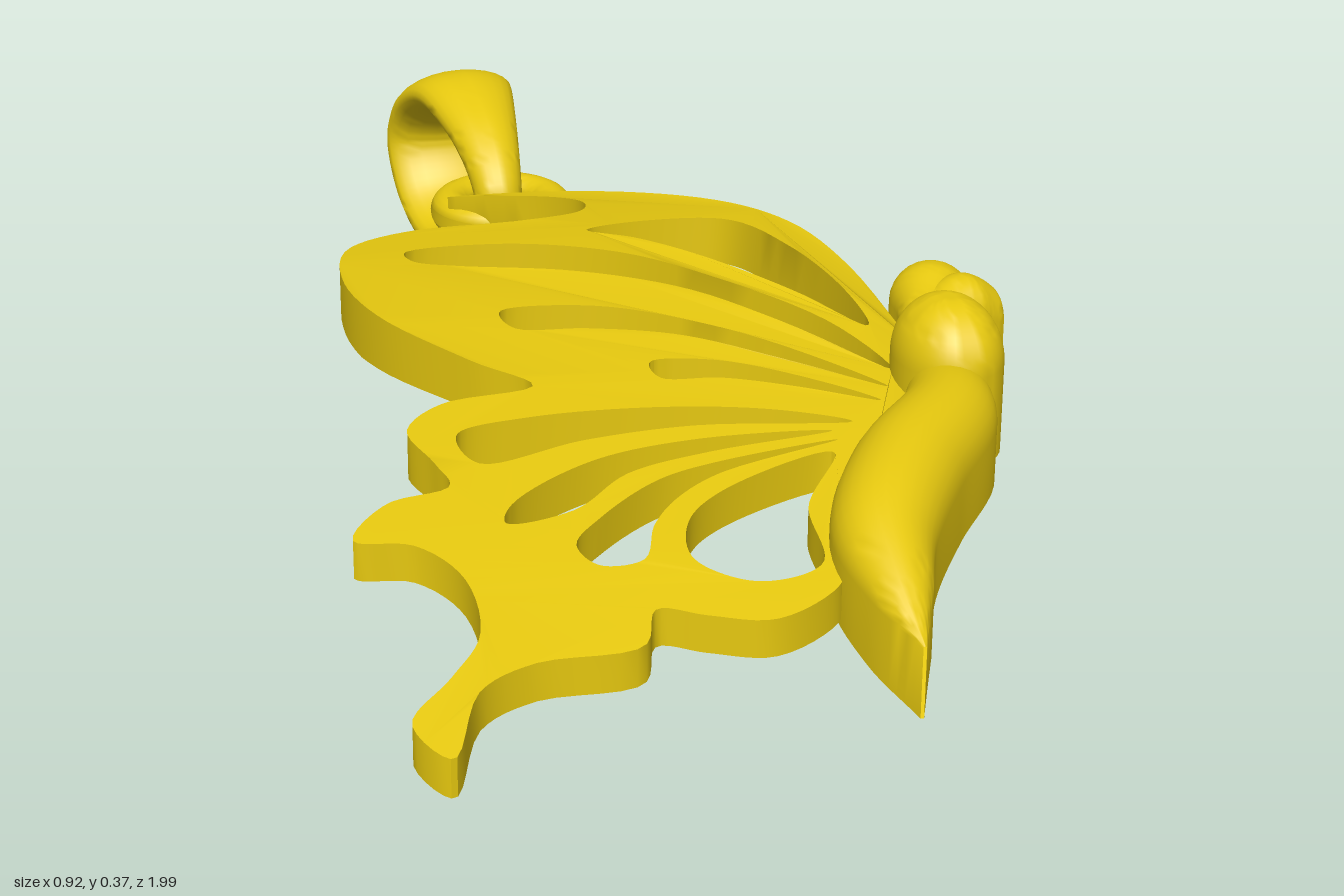
import * as THREE from 'three';
import { toCreasedNormals } from 'three/addons/utils/BufferGeometryUtils.js';

const gold = new THREE.MeshStandardMaterial({ color: 0xe6c80f, side: THREE.DoubleSide });

function part(name, geometry, crease = 0.7) {
  const mesh = new THREE.Mesh(toCreasedNormals(geometry, crease), gold);
  mesh.name = name;
  return mesh;
}

// Skin a list of equal-length rings of Vector3
function loft(rings, closedPath) {
  const n = rings[0].length, m = rings.length, index = [];
  for (let i = 0; i < (closedPath ? m : m - 1); i++) {
    for (let j = 0; j < n; j++) {
      const a = i * n + j, b = i * n + (j + 1) % n;
      const c = ((i + 1) % m) * n + j, d = ((i + 1) % m) * n + (j + 1) % n;
      index.push(a, b, c, b, d, c);
    }
  }
  const g = new THREE.BufferGeometry().setFromPoints(rings.flat());
  g.setIndex(index);
  return g;
}

// Flat-bottomed, domed ridge along stations [x, z, halfWidth, top, bottom]
function ridge(stations, steps = 36) {
  const path = new THREE.CatmullRomCurve3(stations.map(s => new THREE.Vector3(s[0], 0, s[1])), false, 'catmullrom');
  const size = new THREE.CatmullRomCurve3(stations.map(s => new THREE.Vector3(s[2], s[3], s[4])), false, 'catmullrom');
  const up = new THREE.Vector3(0, 1, 0), rings = [];
  for (let i = 0; i <= steps; i++) {
    const c = path.getPoint(i / steps), { x: w0, y: top, z: bottom } = size.getPoint(i / steps);
    const side = up.clone().cross(path.getTangent(i / steps));
    const w = Math.max(w0, 0.002), dome = Math.min(w, 0.5 * (top - bottom));
    const at = (a, y) => c.clone().addScaledVector(side, a).setY(y);
    const ring = [at(w, bottom)];
    for (let k = 0; k <= 14; k++) {
      const t = Math.PI * k / 14;
      ring.push(at(w * Math.cos(t), top - dome + dome * Math.sin(t)));
    }
    ring.push(at(-w, bottom));
    rings.push(ring);
  }
  return loft(rings, false);
}

// Smooth closed contour through [x, z] points
function contour(points, n) {
  return new THREE.CatmullRomCurve3(points.map(p => new THREE.Vector3(p[0], -p[1], 0)), true, 'centripetal')
    .getPoints(n).slice(0, -1).map(p => new THREE.Vector2(p.x, p.y));
}

function wingGeometry() {
  const outline = [
    [-0.08, -0.57], [0, -0.54], [0.13, -0.42], [0.24, -0.26], [0.29, -0.11], [0.305, 0.08], [0.30, 0.34],
    [0.31, 0.45], [0.26, 0.52], [0.17, 0.62], [0.10, 0.72], [0.06, 0.78], [0.03, 0.82], [-0.05, 0.855],
    [-0.12, 0.835], [-0.17, 0.815], [-0.2, 0.87], [-0.32, 0.875], [-0.385, 0.905], [-0.435, 0.995],
    [-0.465, 0.94], [-0.41, 0.88], [-0.365, 0.82], [-0.36, 0.72], [-0.4, 0.655], [-0.462, 0.635],
    [-0.41, 0.57], [-0.335, 0.55], [-0.34, 0.5], [-0.355, 0.42], [-0.30, 0.365], [-0.185, 0.345],
    [-0.24, 0.265], [-0.32, 0.11], [-0.34, -0.03], [-0.3, -0.185], [-0.2, -0.25], [-0.05, -0.25],
    [0.04, -0.275], [0.065, -0.345], [0.04, -0.42], [-0.03, -0.51],
  ];
  const holes = [
    // forewing cells
    [[0.02, -0.16], [0.105, -0.18], [0.21, -0.15], [0.255, 0], [0.272, 0.19], [0.262, 0.28], [0.21, 0.16],
      [0.13, 0], [0.07, -0.1]],
    [[-0.235, -0.135], [-0.105, -0.13], [0.025, -0.05], [0.13, 0.095], [0.22, 0.26], [0.25, 0.40],
      [0.16, 0.24], [0.07, 0.105], [-0.05, 0.01], [-0.185, -0.05], [-0.235, -0.085]],
    [[-0.17, 0.125], [-0.05, 0.14], [0.08, 0.24], [0.185, 0.37], [0.23, 0.44], [0.13, 0.345],
      [0.025, 0.25], [-0.08, 0.205], [-0.165, 0.185]],
    [[-0.03, 0.315], [0.05, 0.33], [0.16, 0.415], [0.21, 0.47], [0.12, 0.415], [0.04, 0.375], [-0.03, 0.36]],
    // hindwing cells
    [[-0.3, 0.44], [-0.21, 0.42], [-0.05, 0.43], [0.08, 0.465], [0.16, 0.51], [-0.025, 0.48],
      [-0.16, 0.485], [-0.29, 0.51]],
    [[-0.29, 0.635], [-0.275, 0.6], [-0.16, 0.53], [-0.025, 0.51], [0.13, 0.525], [-0.025, 0.54],
      [-0.13, 0.565], [-0.21, 0.625]],
    [[-0.225, 0.69], [-0.185, 0.645], [-0.1, 0.585], [-0.025, 0.563], [0.13, 0.545], [-0.025, 0.585],
      [-0.09, 0.625], [-0.13, 0.67], [-0.16, 0.73], [-0.21, 0.73]],
    [[-0.105, 0.74], [-0.09, 0.67], [-0.025, 0.615], [0.115, 0.57], [0.05, 0.67], [0.03, 0.775], [-0.05, 0.79]],
  ];
  const shape = new THREE.Shape(contour(outline, 240));
  shape.holes = holes.map(h => new THREE.Path(contour(h, 64)));
  const g = new THREE.ExtrudeGeometry(shape, { depth: 1, bevelEnabled: false });
  g.rotateX(-Math.PI / 2);
  // Arch the plate lengthwise and thin it towards both tips
  const p = g.attributes.position;
  for (let i = 0; i < p.count; i++) {
    const z = p.getZ(i), d = z - 0.05;
    const top = 0.285 - (d < 0 ? 0.24 : 0.14) * d * d;
    const thickness = Math.max(0.045, 0.075 - 0.05 * Math.abs(d));
    p.setY(i, top - thickness * (1 - p.getY(i)));
  }
  return g;
}

// Teardrop band, wide at the back and narrow where it holds the ring
function bailGeometry() {
  const curve = new THREE.CatmullRomCurve3([
    [-0.625, 0.155], [-0.66, 0.09], [-0.74, 0.048], [-0.84, 0.035], [-0.925, 0.075], [-0.967, 0.155],
    [-0.93, 0.225], [-0.84, 0.265], [-0.73, 0.245], [-0.655, 0.205],
  ].map(([z, y]) => new THREE.Vector3(0.01, y, z)), true, 'catmullrom');
  const xAxis = new THREE.Vector3(1, 0, 0), rings = [];
  for (let i = 0; i < 72; i++) {
    const c = curve.getPoint(i / 72), out = curve.getTangent(i / 72).cross(xAxis);
    const half = THREE.MathUtils.mapLinear(c.z, -0.625, -0.967, 0.036, 0.098);
    rings.push(Array.from({ length: 24 }, (_, k) => {
      const t = k / 24 * Math.PI * 2;
      return c.clone().addScaledVector(xAxis, half * Math.cos(t)).addScaledVector(out, 0.033 * Math.sin(t));
    }));
  }
  return loft(rings, true);
}

export function createModel() {
  const model = new THREE.Group();
  model.name = 'butterflyPendant';

  model.add(part('wings', wingGeometry()));

  model.add(part('abdomen', ridge([
    [0.305, 0.44, 0.045, 0.30, 0.178], [0.265, 0.54, 0.06, 0.312, 0.178], [0.175, 0.65, 0.066, 0.312, 0.172],
    [0.105, 0.765, 0.06, 0.292, 0.16], [0.085, 0.87, 0.037, 0.25, 0.135], [0.08, 0.958, 0.002, 0.195, 0.11],
  ])));

  // Domed thorax: straight wall with a rounded top
  const wall = [new THREE.Vector2(0, 0.176), new THREE.Vector2(1, 0.176)];
  for (let k = 0; k <= 14; k++) {
    const t = k / 14 * Math.PI / 2;
    wall.push(new THREE.Vector2(k === 14 ? 0 : Math.cos(t), 0.29 + 0.077 * Math.sin(t)));
  }
  const thorax = part('thorax', new THREE.LatheGeometry(wall, 40).scale(0.066, 1, 0.084));
  thorax.position.set(0.31, 0, 0.425);
  model.add(thorax);

  // Head: two rounded lobes branching from the thorax
  const lobes = {
    backLobe: [[0.31, 0.37, 0.035, 0.29, 0.176], [0.345, 0.27, 0.036, 0.31, 0.176],
      [0.37, 0.215, 0.052, 0.325, 0.176], [0.395, 0.175, 0.042, 0.31, 0.176], [0.405, 0.155, 0.002, 0.27, 0.176]],
    frontLobe: [[0.31, 0.37, 0.035, 0.29, 0.176], [0.355, 0.285, 0.034, 0.31, 0.176],
      [0.40, 0.253, 0.045, 0.322, 0.176], [0.44, 0.245, 0.036, 0.30, 0.176], [0.457, 0.245, 0.002, 0.27, 0.176]],
  };
  for (const name in lobes) model.add(part(name, ridge(lobes[name])));

  // Hanging hardware
  const ring = part('jumpRing', new THREE.TorusGeometry(0.076, 0.03, 20, 48).rotateX(Math.PI / 2));
  ring.position.set(0.01, 0.155, -0.605);
  model.add(ring, part('bail', bailGeometry(), 1));

  return model;
}
